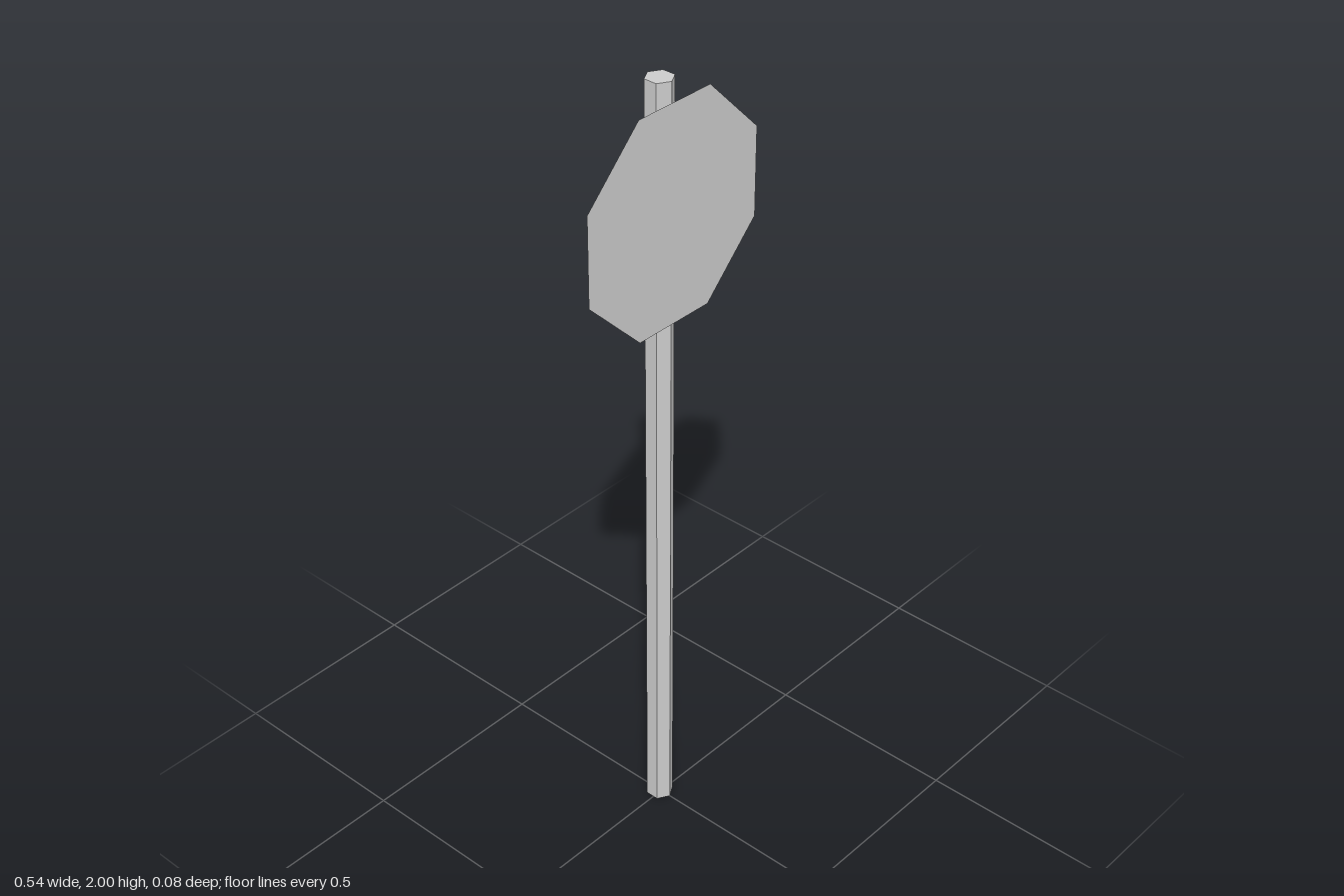
import * as THREE from 'three';

export function createModel() {
  const model = new THREE.Group();
  model.name = 'roadSign';

  // Hexagonal pole, with corners pointing to the front and back
  const pole = new THREE.Mesh(
    new THREE.CylinderGeometry(0.034, 0.034, 2, 6),
    new THREE.MeshStandardMaterial({ color: 0xcccccc, flatShading: true })
  );
  pole.name = 'pole';
  pole.position.set(0, 1, -0.0045);
  model.add(pole);

  // Thin octagonal plate just in front of the pole, flat side up
  const plate = new THREE.Mesh(
    new THREE.CircleGeometry(0.291, 8, Math.PI / 8),
    new THREE.MeshStandardMaterial({ color: 0xcccccc, flatShading: true, side: THREE.DoubleSide })
  );
  plate.name = 'signPlate';
  plate.position.set(0, 1.688, 0.0385);
  model.add(plate);

  return model;
}
